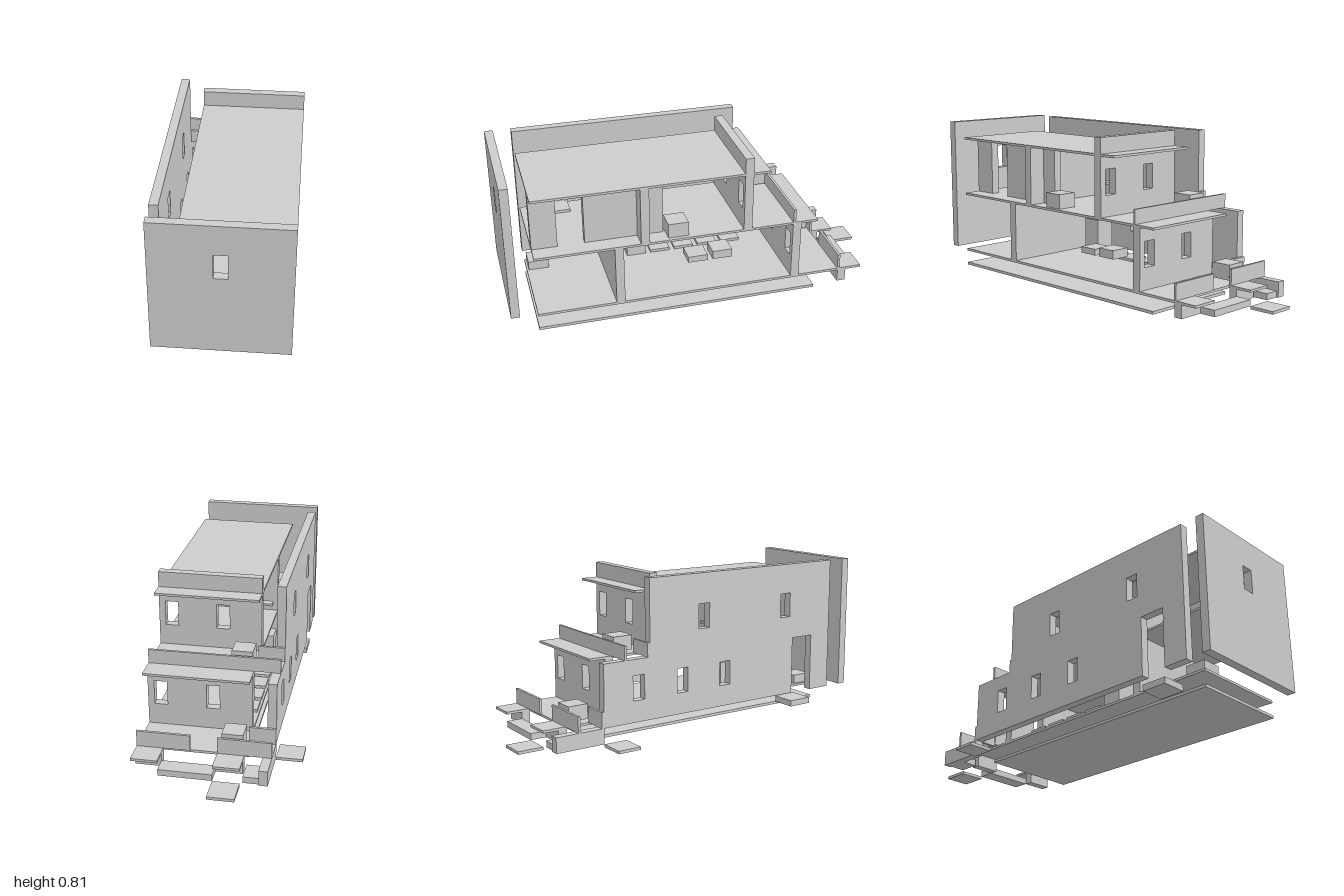
import * as THREE from 'three';

export function createModel() {
  const model = new THREE.Group();
  const grey = new THREE.MeshStandardMaterial({ color: 0xcccccc });
  grey.name = 'plain grey';

  const add = (name, geometry) => {
    const mesh = new THREE.Mesh(geometry, grey);
    mesh.name = name;
    model.add(mesh);
    return mesh;
  };

  // Box given by its limits on each axis
  const box = (name, x0, x1, y0, y1, z0, z1) => {
    const g = new THREE.BoxGeometry(x1 - x0, y1 - y0, z1 - z0);
    g.translate((x0 + x1) / 2, (y0 + y1) / 2, (z0 + z1) / 2);
    return add(name, g);
  };

  // Wall outline with rectangular window holes [left, right, bottom, top]
  const wallGeometry = (outline, windows, depth) => {
    const shape = new THREE.Shape(outline.map(([a, b]) => new THREE.Vector2(a, b)));
    for (const [l, r, b, t] of windows) {
      shape.holes.push(new THREE.Path([[l, b], [l, t], [r, t], [r, b]].map(([p, q]) => new THREE.Vector2(p, q))));
    }
    return new THREE.ExtrudeGeometry(shape, { depth, bevelEnabled: false });
  };
  const rect = (l, r, b, t) => [[l, b], [r, b], [r, t], [l, t]];

  const W = 0.0445;               // wall thickness
  const L = -0.133, R = 0.4;      // inner house width
  const OUT = -0.267;             // outer side
  const F = 0.865;                // front of floors
  const LOW = [0.207, 0.335], HIGH = [0.525, 0.655]; // window heights

  // Walls facing front and back
  const crossWall = (name, x0, y0, y1, z0, windows) =>
    add(name, wallGeometry(rect(x0, R, y0, y1), windows, W).translate(0, 0, z0));
  crossWall('frontWall', OUT, 0.095, 0.813, 1 - W, [[0.033, 0.1, ...HIGH]]);
  crossWall('upperBackWall', L, 0.417, 0.72, -0.244, [[0.033, 0.1, ...HIGH], [0.3, 0.367, ...HIGH]]);
  crossWall('lowerBackWall', L, 0.095, 0.405, -0.511, [[0.033, 0.1, ...LOW], [0.3, 0.367, ...LOW]]);
  crossWall('roofParapet', L, 0.732, 0.813, -0.244, []);
  crossWall('upperPartition', L, 0.417, 0.72, 0.289, []);
  crossWall('lowerPartition', L, 0.095, 0.405, 0.422, []);

  // Stepped side wall with a doorway; outline runs along -z
  const side = wallGeometry(
    [[-F, 0.095], [-0.735, 0.095], [-0.735, 0.405], [-0.6, 0.405], [-0.6, 0.095],
      [0.6, 0.095], [0.6, 0.417], [0.333, 0.417], [0.333, 0.813], [-F, 0.813]],
    [[-0.17, -0.102, ...LOW], [0.1, 0.167, ...LOW], [0.365, 0.432, ...LOW],
      [-0.034, 0.034, ...HIGH], [-0.577, -0.51, ...HIGH]], W);
  side.rotateY(Math.PI / 2).translate(OUT, 0, 0);
  add('sideWall', side);
  box('sideWallBase', OUT, OUT + W, 0.015, 0.095, -0.865, -0.6);

  // Upper hall wall with a gap for the door
  for (const [z0, z1] of [[0.735, F], [0.333, 0.6], [0.2, 0.289]]) {
    box('hallWall', 0.267, 0.311, 0.417, 0.72, z0, z1);
  }

  // Floors and roof
  box('groundSlab', L, R, 0, 0.015, -0.6, F);
  box('lowerFloor', L, R, 0.082, 0.095, -0.735, F);
  box('upperFloor', L, R, 0.405, 0.417, -0.6, F);
  box('roof', L, R, 0.72, 0.732, -0.333, F);

  // Back porch: landings, foundation walls, steps and paving
  for (const [x0, x1] of [[L, 0], [0.267, R]]) {
    box('porchLanding', x0, x1, 0.082, 0.095, -0.865, -0.735);
    box('porchFoundation', x0, x1, 0.015, 0.082, -0.78, -0.735);
  }
  box('backStep', 0, 0.267, 0.015, 0.048, -0.865, -0.78);
  box('sideStep', OUT + W, -0.145, 0.015, 0.048, -0.855, -0.745);
  box('doorStep', OUT, L - 0.003, 0.015, 0.048, 0.6, 0.735);
  box('backPaving', L, 0, 0, 0.015, -1, -0.865);
  box('sidePaving', -0.4, OUT, 0, 0.015, -0.6, -0.475);

  // Thin railings on the terraces
  const railing = (x0, x1, y0, y1, z0) => box('railing', x0, x1, y0, y1, z0, z0 + 0.013);
  railing(OUT, R, 0.417, 0.49, -0.48);
  railing(OUT, L, 0.417, 0.49, -0.346);
  railing(OUT, 0, 0.095, 0.177, -0.745);
  railing(0.133, R, 0.095, 0.177, -0.745);
  railing(OUT, L, 0.095, 0.177, -0.613);

  // Terrace seats
  box('upperTerraceSeat', -0.123, -0.017, 0.433, 0.508, -0.455, -0.348);
  box('lowerTerraceSeat', -0.123, -0.017, 0.112, 0.19, -0.718, -0.61);

  // Furniture on the upper floor
  box('bedroomChest', 0.275, 0.38, 0.417, 0.493, 0.085, 0.19);
  box('upperShelf', -0.123, -0.017, 0.495, 0.508, 0.155, 0.2);
  box('upperMat', -0.123, -0.017, 0.417, 0.432, 0.615, 0.72);

  // Furniture on the lower floor
  box('tableTop', 0.155, 0.26, 0.176, 0.209, -0.053, 0.053);
  box('counterTop', 0.155, 0.26, 0.176, 0.222, -0.185, -0.08);
  box('cabinetBase', -0.123, -0.017, 0.097, 0.165, 0.217, 0.32);
  box('cabinetDrawer', -0.123, -0.017, 0.165, 0.195, 0.217, 0.32);
  box('cabinetTop', -0.123, -0.017, 0.195, 0.288, 0.217, 0.32);
  box('hallBench', -0.123, -0.017, 0.097, 0.144, 0.748, 0.855);
  for (let i = 0; i < 4; i++) {
    const z = 0.137 - i * 0.1335;
    box('floorMat', -0.123, -0.017, 0.097, 0.112, z - 0.053, z + 0.053);
  }

  return model;
}
